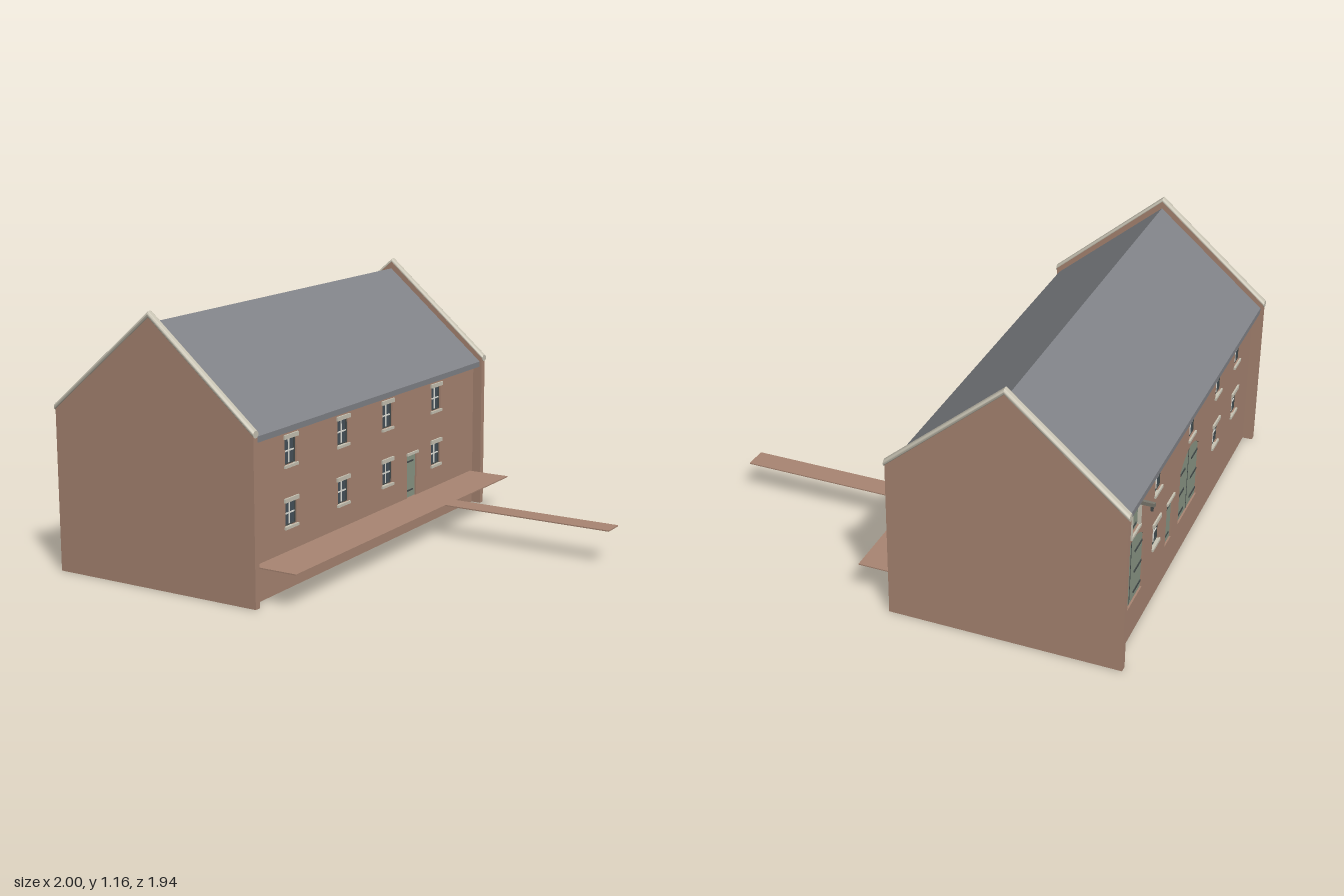
import * as THREE from 'three';
import { toCreasedNormals } from 'three/addons/utils/BufferGeometryUtils.js';

const mat = (name, color, side = THREE.FrontSide) => {
  const m = new THREE.MeshStandardMaterial({ color, side });
  m.name = name;
  return m;
};

export function createModel() {
  const brick = mat('brick', 0xa98673, THREE.DoubleSide);
  const slate = mat('slate', 0x818388, THREE.DoubleSide);
  const stone = mat('stone', 0xc9c4b4);
  const door = mat('doorPaint', 0x8b9786);
  const iron = mat('iron', 0x454c4b);
  const glass = mat('glass', 0x46525a);
  const white = mat('whitePaint', 0xe4e4dc);
  const timber = mat('timber', 0x7b786e);

  const CX = -0.465;      // ridge line
  const OUT = 0.46;       // half width to the outer wall face
  const THICK = 0.03;
  const END = 0.935;      // inner face of the gables

  const model = new THREE.Group();
  model.name = 'barn';

  const add = (parent, name, geo, material) => {
    const mesh = new THREE.Mesh(geo, material);
    mesh.name = name;
    parent.add(mesh);
    return mesh;
  };
  const box = (parent, name, material, w, h, d, x, y, z) => {
    const mesh = add(parent, name, new THREE.BoxGeometry(w, h, d), material);
    mesh.position.set(x, y, z);
    return mesh;
  };
  const polygon = (pts) => new THREE.Shape(pts.map(([x, y]) => new THREE.Vector2(x, y)));
  const extrude = (shape, depth, z) =>
    new THREE.ExtrudeGeometry(shape, { depth, bevelEnabled: false, curveSegments: 10 }).translate(0, 0, z);

  // Opening outline, optionally with an arched head
  const outline = (u, w, y0, y1, rise = 0, Type = THREE.Shape) => {
    const p = new Type();
    p.moveTo(u - w / 2, y0);
    p.lineTo(u + w / 2, y0);
    p.lineTo(u + w / 2, y1);
    if (rise) p.quadraticCurveTo(u, y1 + 2 * rise, u - w / 2, y1);
    else p.lineTo(u - w / 2, y1);
    p.closePath();
    return p;
  };

  // Stone head or sill running through the wall
  const stoneBar = (side, name, u, w, h, y) =>
    box(side, name, stone, w, h, THICK + 0.016, u, y, OUT - THICK / 2);

  const addWindow = (side, { u, w, y0, y1 }) => {
    const g = new THREE.Group();
    g.name = 'window';
    side.add(g);
    const h = y1 - y0, y = (y0 + y1) / 2, z = OUT - 0.014;
    box(g, 'glassPane', glass, w, h, 0.006, u, y, z);
    box(g, 'mullion', white, 0.007, h, 0.012, u, y, z);
    box(g, 'transom', white, w, 0.006, 0.012, u, y, z);
    for (const s of [-1, 1]) {
      box(g, 'sideFrame', iron, 0.006, h, 0.014, u + s * (w / 2 - 0.003), y, z);
      box(g, 'railFrame', iron, w, 0.005, 0.014, u, y + s * (h / 2 - 0.0025), z);
    }
    stoneBar(g, 'lintel', u, w + 0.018, 0.018, y1 + 0.009);
    stoneBar(g, 'sill', u, w + 0.014, 0.012, y0 - 0.006);
  };

  const addDoor = (side, { u, w, y0, y1, rise = 0, kind }) => {
    const g = new THREE.Group();
    g.name = kind;
    side.add(g);
    const front = OUT - 0.008;
    add(g, 'doorPanel', extrude(outline(u, w, y0, y1, rise), 0.012, front - 0.012), door);
    if (kind === 'archedDoor') {
      box(g, 'meetingGap', iron, 0.004, y1 + rise - y0 - 0.004, 0.003, u, (y0 + y1 + rise) / 2, front);
      for (const s of [-1, 1]) for (const f of [0.12, 0.5, 0.88])
        box(g, 'strapHinge', iron, w * 0.32, 0.01, 0.006, u + s * w * 0.33, y0 + (y1 - y0) * f, front);
    } else {
      const h = y1 - y0;
      for (const f of [0.16, 0.84])
        box(g, 'strapHinge', iron, w * 0.75, 0.007, 0.006, u - w * 0.1, y0 + h * f, front);
      stoneBar(g, 'lintel', u, w + 0.016, 0.012, y1 + 0.006);
    }
    if (kind === 'loftHatch') {
      stoneBar(g, 'sill', u, w + 0.016, 0.012, y0 - 0.006);
      for (const s of [-1, 1])
        box(g, 'jamb', stone, 0.01, y1 - y0, THICK + 0.012, u + s * (w / 2 + 0.003), (y0 + y1) / 2, OUT - THICK / 2);
    }
  };

  // Long wall: built facing local +z, then turned to its side
  const addSide = (name, turn, windows, doors) => {
    const side = new THREE.Group();
    side.name = name;
    side.position.x = CX;
    side.rotation.y = turn;
    model.add(side);
    const wall = outline(0, END * 2, 0, 0.704);
    for (const o of [...windows, ...doors])
      wall.holes.push(outline(o.u, o.w, o.y0, o.y1, o.rise, THREE.Path));
    add(side, 'longWall', extrude(wall, THICK, OUT - THICK), brick);
    windows.forEach((o) => addWindow(side, o));
    doors.forEach((o) => addDoor(side, o));
  };
  const upper = (u) => ({ u, w: 0.084, y0: 0.527, y1: 0.637 });
  const lower = (u) => ({ u, w: 0.084, y0: 0.268, y1: 0.37 });

  const courtCols = [-0.64, -0.24, 0.13, 0.57];
  addSide('courtSide', Math.PI / 2,
    [...courtCols.map(upper), ...courtCols.map(lower)],
    [{ u: 0.348, w: 0.084, y0: 0.16, y1: 0.36, kind: 'door' }]);

  addSide('yardSide', -Math.PI / 2,
    [...[-0.45, 0.01, 0.4, 0.7].map(upper), ...[-0.45, 0.4, 0.7].map(lower)],
    [
      { u: -0.75, w: 0.28, y0: 0.16, y1: 0.42, rise: 0.06, kind: 'archedDoor' },
      { u: 0.005, w: 0.27, y0: 0.16, y1: 0.42, rise: 0.06, kind: 'archedDoor' },
      { u: -0.265, w: 0.084, y0: 0.16, y1: 0.365, kind: 'door' },
      { u: -0.735, w: 0.1, y0: 0.51, y1: 0.625, kind: 'loftHatch' },
    ]);

  // Gable walls with rounded stone coping
  const slope = 0.85;
  const gable = polygon([[-0.505, 0], [0.505, 0], [0.505, 0.718], [0, 1.147], [-0.505, 0.718]]);
  for (const s of [-1, 1]) {
    const wall = add(model, 'gableWall', extrude(gable, THICK, -THICK / 2), brick);
    wall.position.set(CX, 0, s * (END + THICK / 2));

    let g = new THREE.CylinderGeometry(0.018, 0.018, 1.018, 16, 2).rotateZ(Math.PI / 2);
    const p = g.attributes.position;
    for (let i = 0; i < p.count; i++)
      p.setY(i, p.getY(i) * 0.85 + 1.149 - slope * Math.abs(p.getX(i)));
    g = toCreasedNormals(g, 0.8);
    add(model, 'gableCoping', g, stone).position.set(CX, 0, s * 0.953);
  }

  // Slate roof, one slab per slope
  for (const s of [-1, 1]) {
    const pts = [[0, 1.115], [0.494 * s, 0.7], [0.494 * s, 0.675], [0, 1.09]];
    add(model, 'roofSlope', extrude(polygon(pts), END * 2, -END), slate).position.x = CX;
  }

  // Raised terrace and walkway
  box(model, 'terrace', brick, 0.205, 0.005, 1.825, 0.0975, 0.158, 0);
  box(model, 'walkway', brick, 0.8, 0.005, 0.1, 0.6, 0.158, -0.35);

  // Hoist beam above the loft hatch
  box(model, 'hoistBeam', timber, 0.08, 0.016, 0.014, -0.96, 0.645, -0.732);
  box(model, 'hoistHook', iron, 0.01, 0.024, 0.008, -0.988, 0.627, -0.732);

  return model;
}
